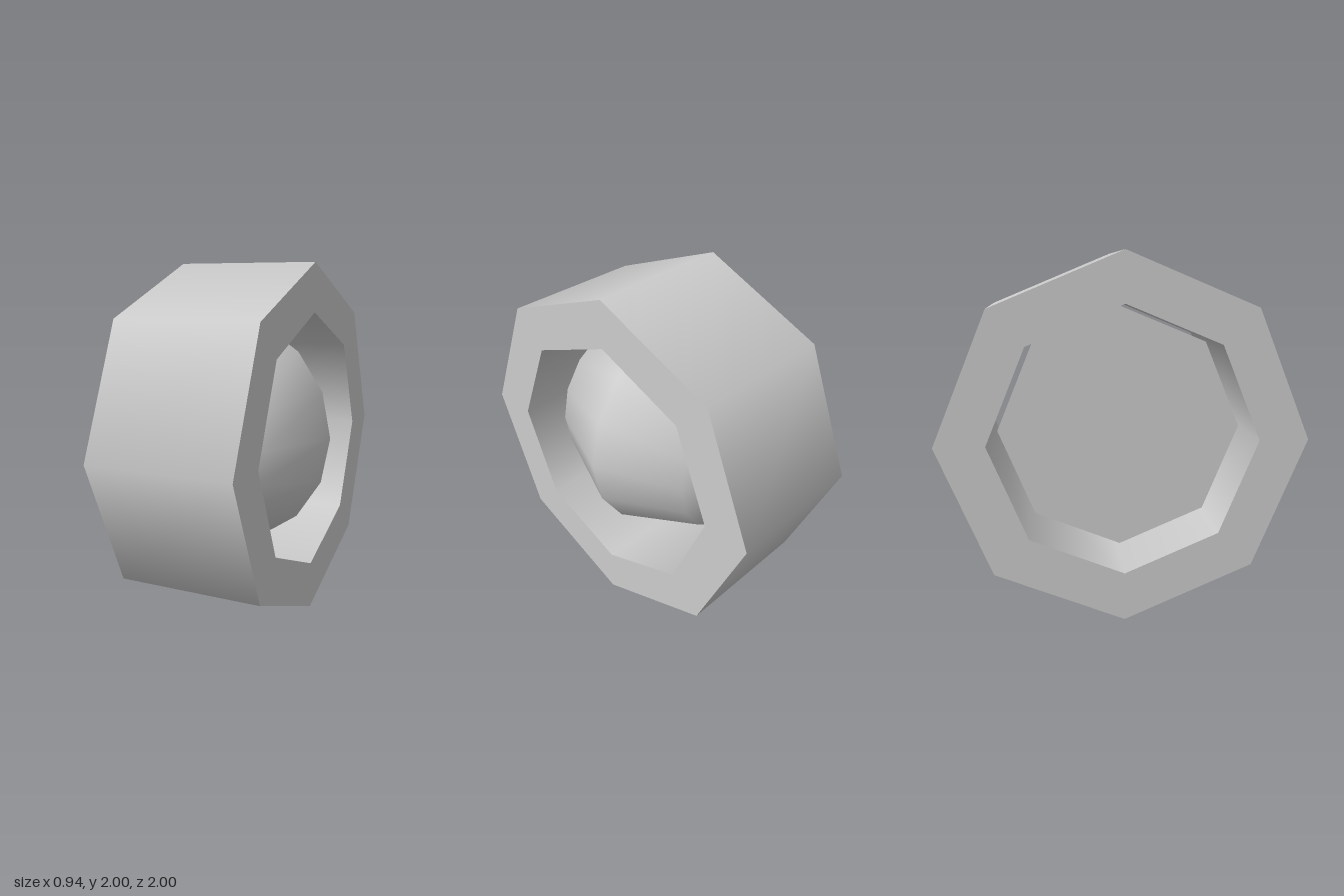
import * as THREE from 'three';
import { mergeGeometries } from 'three/addons/utils/BufferGeometryUtils.js';

const material = new THREE.MeshStandardMaterial({ color: 0xcccccc });

function addMesh(parent, name, geometry, y) {
  const mesh = new THREE.Mesh(geometry, material);
  mesh.name = name;
  mesh.position.y = y;
  parent.add(mesh);
  return mesh;
}

// Octagonal ring along x: each wall is its own band, so corners stay sharp
// while the shading runs smoothly around the ring.
function ringGeometry(outer, inner, x0, x1) {
  const profile = [[outer, x0], [outer, x1], [inner, x1], [inner, x0]]
    .map(([r, x]) => new THREE.Vector2(r, x));
  const bands = profile.map((p, i) =>
    new THREE.LatheGeometry([p, profile[(i + 1) % profile.length]], 8));
  return mergeGeometries(bands).rotateZ(-Math.PI / 2);
}

export function createModel() {
  const group = new THREE.Group();
  group.name = 'ringWithDome';

  addMesh(group, 'outerRing', ringGeometry(1, 0.73, -0.47, 0.36), 1);

  // Half sphere with its poles along z, bulging towards +x
  const radius = 0.68;
  const dome = new THREE.SphereGeometry(radius, 8, 4, 0, Math.PI)
    .rotateX(Math.PI / 2)
    .rotateZ(Math.PI / 2);
  addMesh(group, 'dome', dome, 1.03).position.x = -0.215;

  // Flat back closing the dome
  const back = new THREE.CircleGeometry(radius, 8).rotateY(-Math.PI / 2);
  addMesh(group, 'domeBack', back, 1.03).position.x = -0.215;

  return group;
}
